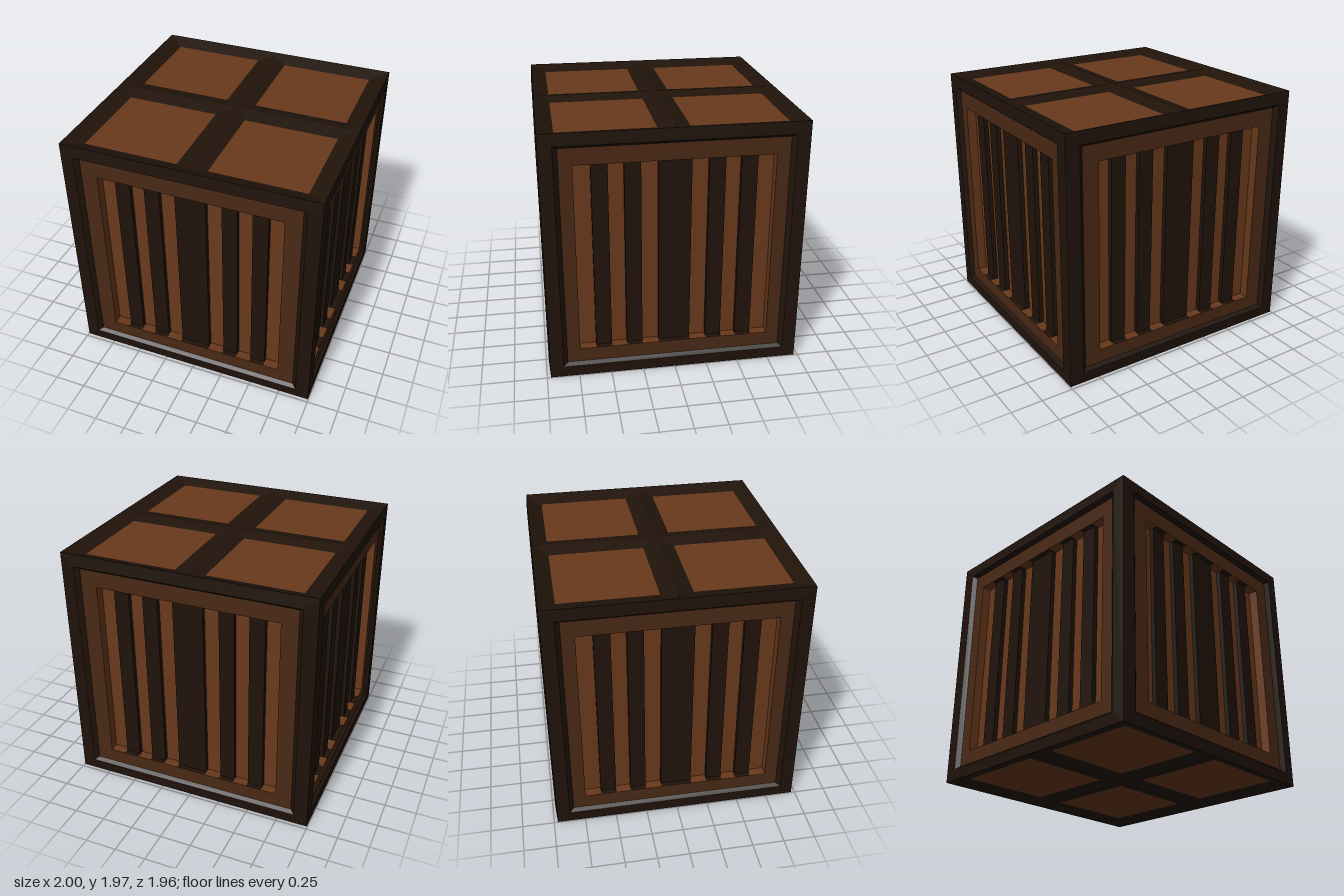
import * as THREE from 'three';

const DARK = 0x20130a, FRAME = 0x4a2915, BROWN = 0x69391c;
const HX = 1, HY = 0.985, HZ = 0.98; // half sizes of the crate
const CX = 0.996, CZ = 0.971;        // corner edges, pulled in slightly

function mesh(name, geometry, color) {
  const m = new THREE.Mesh(geometry, new THREE.MeshStandardMaterial({ color, flatShading: true }));
  m.name = name;
  return m;
}

// Band of quads joining nested rectangles [halfWidth, bottom, top, z], facing +z
function ring(levels) {
  const pos = [];
  const corners = ([w, b, t, z]) => [[-w, b, z], [w, b, z], [w, t, z], [-w, t, z]];
  for (let l = 0; l < levels.length - 1; l++) {
    const a = corners(levels[l]), b = corners(levels[l + 1]);
    for (let i = 0; i < 4; i++) {
      const j = (i + 1) % 4;
      pos.push(...a[i], ...a[j], ...b[j], ...a[i], ...b[j], ...b[i]);
    }
  }
  const g = new THREE.BufferGeometry();
  g.setAttribute('position', new THREE.Float32BufferAttribute(pos, 3));
  g.computeVertexNormals();
  return g;
}

// Slatted wall; w: half width, ow: half width of the opening, [cw, cz]: corner edge
function sideWall(name, w, ow, cw, cz) {
  const g = new THREE.Group();
  g.name = name;
  const front = -0.03, slatFront = -0.068, back = -0.105;
  const bottom = 0.22, top = 1.722, mid = (bottom + top) / 2;
  const lip = [w - 0.145, 0.11, 1.852, front];
  const opening = [ow, bottom, top, front];
  g.add(
    mesh('outerFrame', ring([[cw, 0, 2 * HY, cz], [w - 0.11, 0.088, 1.875, 0], lip]), DARK),
    mesh('innerFrame', ring([lip, opening]), FRAME),
    mesh('openingEdge', ring([opening, [ow, bottom, top, back]]), BROWN)
  );

  const panel = mesh('backPanel', new THREE.PlaneGeometry(2 * ow, top - bottom), BROWN);
  panel.position.set(0, mid, back);
  g.add(panel);

  // One wide central slat and two narrow ones on each side
  const k = ow / 0.725;
  for (const [x, width] of [[-0.54, 0.12], [-0.305, 0.12], [0, 0.24], [0.305, 0.12], [0.54, 0.12]]) {
    const slat = mesh('slat', new THREE.BoxGeometry(width * k, top - bottom, slatFront - back), DARK);
    slat.position.set(x * k, mid, (slatFront + back) / 2);
    g.add(slat);
    // Dark seats where the slat meets the opening
    for (const y of [bottom, top]) {
      const seat = mesh('slatSeat', new THREE.BoxGeometry(width * k, 0.004, front - slatFront - 0.002), DARK);
      seat.position.set(x * k, y, (front + slatFront) / 2 - 0.001);
      g.add(seat);
    }
  }
  return g;
}

// Low triangular ridge running along x, rising towards +z
function ridge(name, length, height) {
  const s = new THREE.Shape([[-0.12, 0], [0.12, 0], [0, height]].map(p => new THREE.Vector2(...p)));
  const geo = new THREE.ExtrudeGeometry(s, { depth: length, bevelEnabled: false });
  geo.translate(0, 0, -length / 2).rotateX(Math.PI / 2).rotateZ(Math.PI / 2);
  return mesh(name, geo, DARK);
}

// Lid or base: sloped rim, sunken panel and a cross of ridges
function endFace(name) {
  const g = new THREE.Group();
  g.name = name;
  const d = -0.04, px = HX - 0.145, pz = HZ - 0.13;
  g.add(mesh('rim', ring([[CX, -CZ, CZ, 0], [px, -pz, pz, d]]), DARK));
  const panel = mesh('panel', new THREE.PlaneGeometry(2 * px, 2 * pz), BROWN);
  panel.position.z = d;
  const barX = ridge('crossBar', 1.88, 0.027);
  const barZ = ridge('crossBar', 1.85, 0.027);
  barZ.rotation.z = Math.PI / 2;
  barX.position.z = barZ.position.z = d;
  g.add(panel, barX, barZ);
  return g;
}

export function createModel() {
  const crate = new THREE.Group();
  crate.name = 'crate';

  // Four walls
  ['frontWall', 'leftWall', 'backWall', 'rightWall'].forEach((name, i) => {
    const odd = i % 2 === 1;
    const wall = odd
      ? sideWall(name, HZ, 0.735, CZ, CX - HX)
      : sideWall(name, HX, 0.725, CX, CZ - HZ);
    const a = i * Math.PI / 2, r = odd ? HX : HZ;
    wall.rotation.y = a;
    wall.position.set(Math.sin(a) * r, 0, Math.cos(a) * r);
    crate.add(wall);
  });

  // Lid and base
  const lid = endFace('lid');
  lid.rotation.x = -Math.PI / 2;
  lid.position.y = 2 * HY;
  const base = endFace('base');
  base.rotation.x = Math.PI / 2;
  crate.add(lid, base);

  return crate;
}
